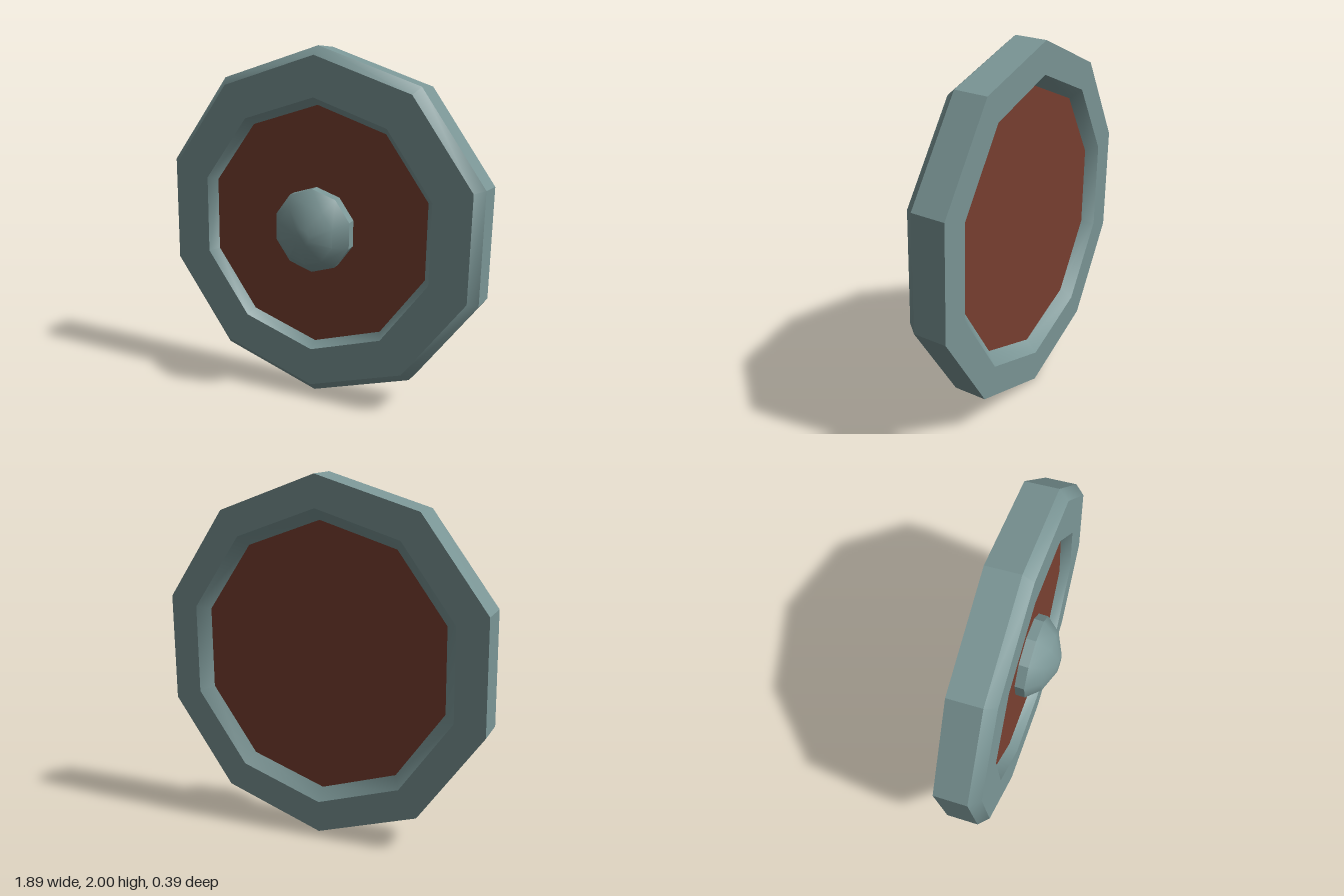
import * as THREE from 'three';
import { toCreasedNormals } from 'three/addons/utils/BufferGeometryUtils.js';

const SIDES = 10;

// Ten-sided solid of revolution about z from [radius, z] points listed back to front on the outside.
// The section leans: centres rise by "rise" per unit z, and the face slopes back by "slope" per unit y.
function turned(points, { centre, rise, slope, crease }) {
  const geo = new THREE.LatheGeometry(points.map(([r, z]) => new THREE.Vector2(r, z)), SIDES);
  geo.rotateX(Math.PI / 2);
  const p = geo.attributes.position;
  for (let i = 0; i < p.count; i++) {
    const y = p.getY(i), z = p.getZ(i);
    p.setXYZ(i, p.getX(i), centre + y + rise * z, z - slope * y);
  }
  return toCreasedNormals(geo, crease);
}

export function createModel() {
  const metal = new THREE.MeshStandardMaterial({ color: 0x7a9595 });
  metal.name = 'grey green metal';
  const wood = new THREE.MeshStandardMaterial({ color: 0x783f30 });
  wood.name = 'red brown wood';

  const group = new THREE.Group();
  group.name = 'roundShield';
  const add = (name, geometry, material) => {
    const mesh = new THREE.Mesh(geometry, material);
    mesh.name = name;
    group.add(mesh);
  };
  const lean = { centre: 1.008, rise: 0.09, slope: 0.0235, crease: 0.55 };

  // Bevelled outer rim with sloping inner walls on both sides
  add('rim', turned([
    [0.75, -0.11], [0.816, -0.17], [0.992, -0.17], [0.992, 0.01],
    [0.941, 0.066], [0.72, 0.066], [0.68, 0.01],
  ], lean), metal);

  // Recessed board, front and back faces
  add('boardBack', turned([[0, -0.11], [0.75, -0.11]], lean), wood);
  add('boardFront', turned([[0.68, 0.01], [0, 0.01]], lean), wood);

  // Domed centre boss
  add('boss', turned([
    [0.237, 0], [0.237, 0.065], [0.17, 0.145], [0.05, 0.198], [0, 0.198],
  ], { centre: 1.002, rise: -0.03, slope: 0.0235, crease: 0.6 }), metal);

  return group;
}
